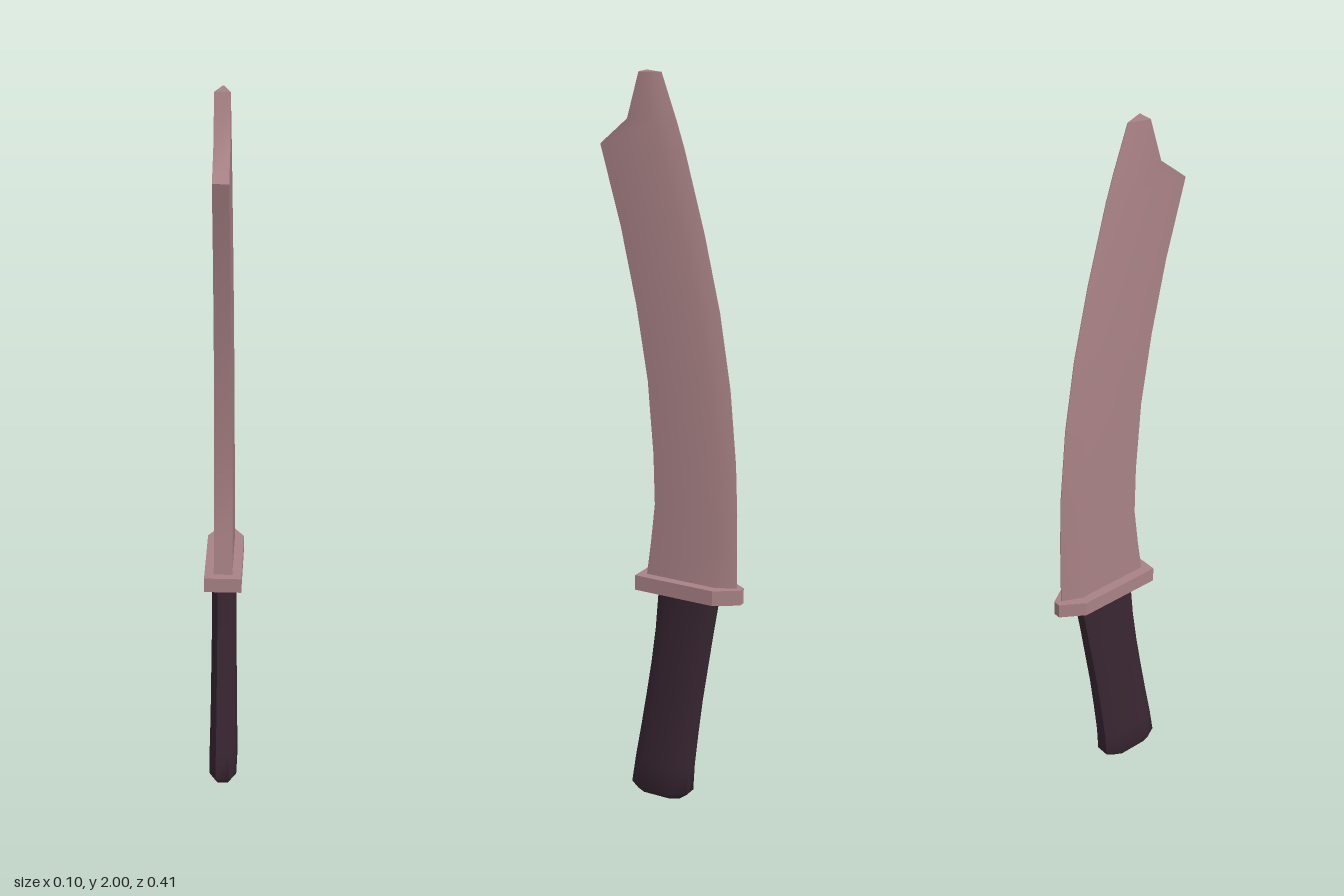
import * as THREE from 'three';
import { toCreasedNormals } from 'three/addons/utils/BufferGeometryUtils.js';

// Skin a stack of rings (counter-clockwise seen from above) and cap both ends.
function loft(rings, crease) {
  const n = rings[0].length;
  const index = [];
  for (let i = 0; i < rings.length - 1; i++) {
    for (let j = 0; j < n; j++) {
      const a = i * n + j, b = i * n + (j + 1) % n;
      index.push(a, b, b + n, a, b + n, a + n);
    }
  }
  const top = (rings.length - 1) * n;
  for (let j = 1; j < n - 1; j++) {
    index.push(0, j + 1, j, top, top + j, top + j + 1);
  }
  const geometry = new THREE.BufferGeometry();
  geometry.setAttribute('position', new THREE.Float32BufferAttribute(rings.flat(2), 3));
  geometry.setIndex(index);
  return toCreasedNormals(geometry, crease);
}

// Flat front face and sides, with a bevel narrowing to the back edge.
const bevelRing = (y, front, back, w, bevel, tip) => [
  [w, y, front], [w, y, back + bevel], [tip, y, back],
  [-tip, y, back], [-w, y, back + bevel], [-w, y, front],
];

// Octagonal grip section with softened corners.
function gripRing([y, front, back, w]) {
  const c = (front + back) / 2, h = (front - back) / 2;
  return [[1, 0.6], [1, -0.6], [0.5, -1], [-0.5, -1], [-1, -0.6], [-1, 0.6], [-0.5, 1], [0.5, 1]]
    .map(([x, z]) => [x * w, y, c + z * h]);
}

export function createModel() {
  const group = new THREE.Group();
  const metal = new THREE.MeshStandardMaterial({ color: 0xa98286 });
  const leather = new THREE.MeshStandardMaterial({ color: 0x3a2733 });
  const add = (name, geometry, material) => {
    const mesh = new THREE.Mesh(geometry, material);
    mesh.name = name;
    group.add(mesh);
  };

  // Curved blade with a notched tip: height, front edge, back edge
  const blade = [
    [0.64, 0.073, -0.19], [0.75, 0.058, -0.19], [0.86, 0.046, -0.189], [1.0, 0.05, -0.184],
    [1.2, 0.067, -0.166], [1.4, 0.101, -0.134], [1.6, 0.146, -0.088], [1.81, 0.206, -0.03],
    [1.88, 0.126, -0.007], [2.0, 0.092, 0.037],
  ];
  add('blade', loft(blade.map(([y, front, back]) =>
    bevelRing(y, front, back, 0.025 - 0.005 * (y - 0.64) / 1.36, 0.053, 0.001)), 0.9), metal);

  // Guard plate, tapered at the back
  add('guard', loft([0.615, 0.657].map((y) =>
    bevelRing(y, 0.093, -0.206, 0.05, 0.063, 0.01)), 0.5), metal);

  // Curved handle: height, front, back, half width
  const handle = [
    [0, 0.108, -0.025, 0.028], [0.02, 0.125, -0.05, 0.038], [0.1, 0.113, -0.055, 0.037],
    [0.2, 0.095, -0.067, 0.035], [0.3, 0.078, -0.08, 0.034], [0.4, 0.062, -0.096, 0.033],
    [0.5, 0.049, -0.112, 0.032], [0.63, 0.038, -0.134, 0.032],
  ];
  add('handle', loft(handle.map(gripRing), 1.0), leather);

  return group;
}
